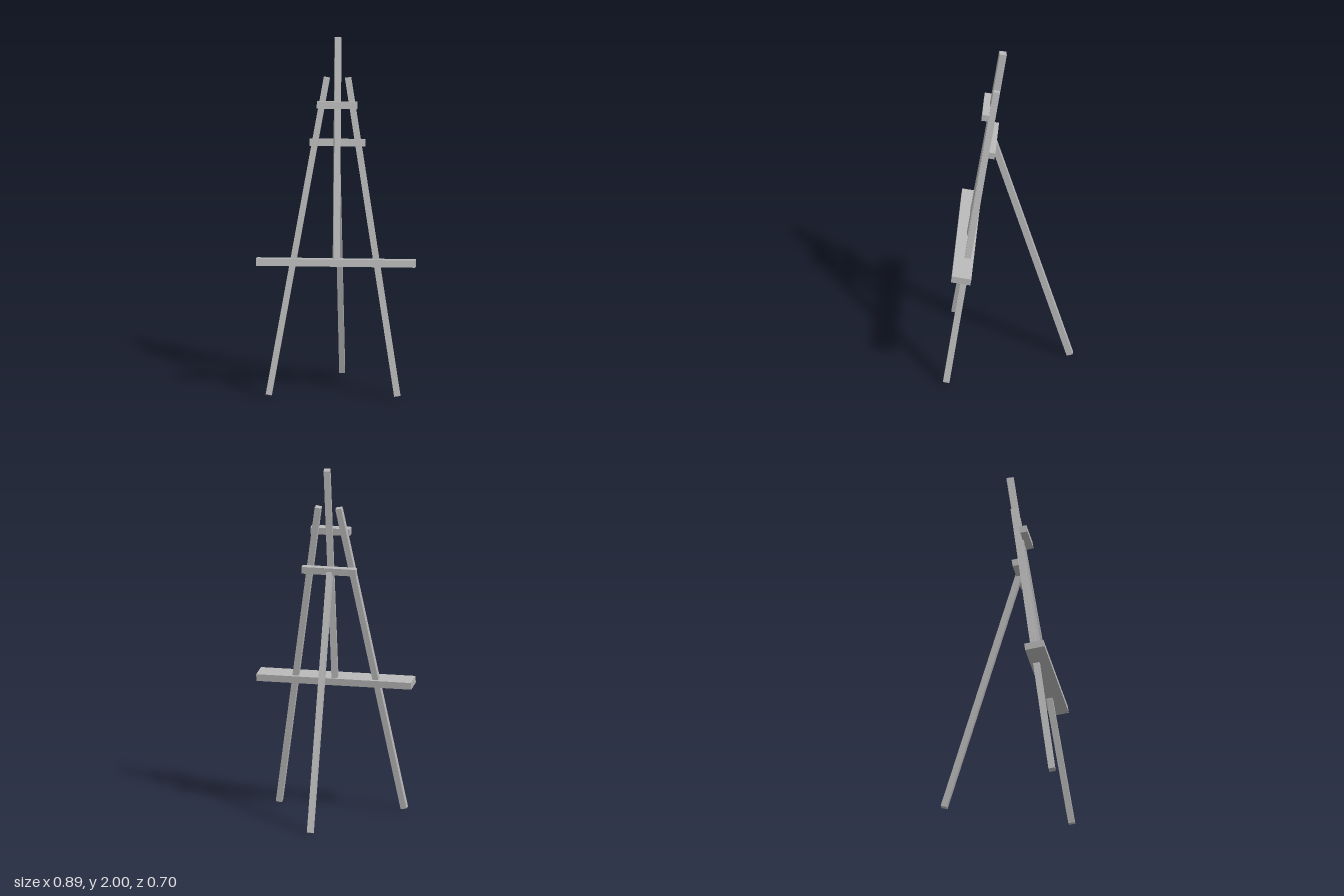
import * as THREE from 'three';

export function createModel() {
  const group = new THREE.Group();
  const wood = new THREE.MeshStandardMaterial({ color: 0xb8b8b8 });
  wood.name = 'plain grey wood';

  // Square-cut strut between two end centres, optionally twisted
  const strut = (name, from, to, width, depth, twist = 0) => {
    const a = new THREE.Vector3(...from), b = new THREE.Vector3(...to);
    const d = b.clone().sub(a), length = d.length();
    const mesh = new THREE.Mesh(new THREE.BoxGeometry(width, length, depth), wood);
    mesh.name = name;
    mesh.position.copy(a).add(b).multiplyScalar(0.5);
    mesh.rotation.set(Math.atan2(d.z, d.y), twist, -Math.asin(d.x / length));
    group.add(mesh);
  };

  // Horizontal bar leaning back with the frame
  const lean = -0.147;
  const bar = (name, x, y, z, width, height, depth) => {
    const mesh = new THREE.Mesh(new THREE.BoxGeometry(width, height, depth), wood);
    mesh.name = name;
    mesh.position.set(x, y, z);
    mesh.rotation.x = lean;
    group.add(mesh);
  };

  // Legs
  strut('rightFrontLeg', [-0.37, 0.018, 0.332], [-0.06, 1.775, 0.07], 0.034, 0.036);
  strut('leftFrontLeg', [0.347, 0.018, 0.332], [0.058, 1.775, 0.07], 0.034, 0.036);
  strut('rearLeg', [0.003, 0.005, -0.335], [-0.003, 1.415, 0.095], 0.032, 0.035);

  // Central mast, twisted slightly about its length
  strut('mast', [0, 0.76, 0.221], [0, 1.996, 0.038], 0.036, 0.04, 0.16);

  // Shelf and crossbars
  bar('shelf', 0, 0.757, 0.243, 0.888, 0.04, 0.11);
  bar('rearCrossbar', 0, 1.408, 0.09, 0.311, 0.04, 0.034);
  bar('topClamp', 0, 1.63, 0.129, 0.225, 0.04, 0.042);

  return group;
}
